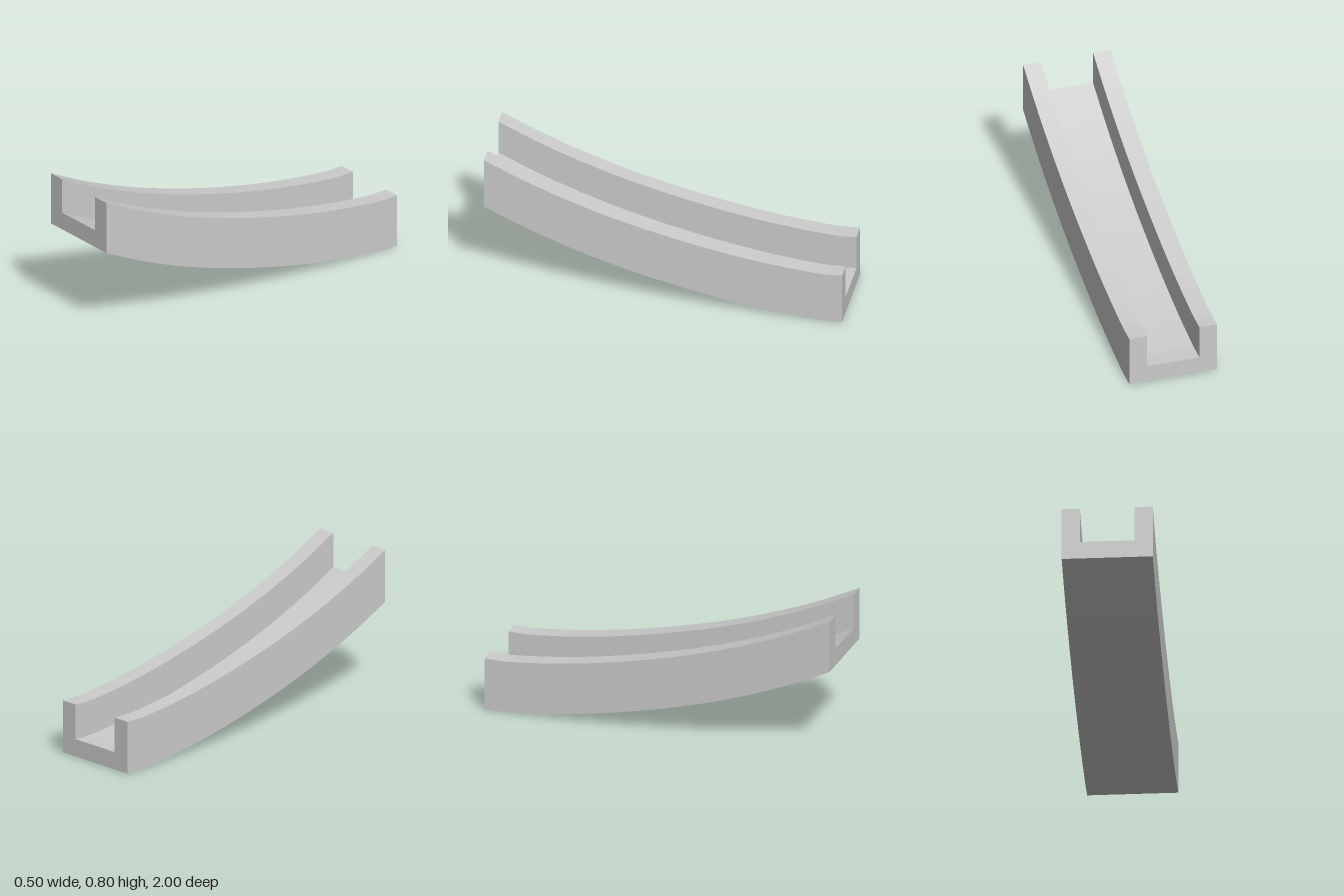
import * as THREE from 'three';
import { toCreasedNormals } from 'three/addons/utils/BufferGeometryUtils.js';

const STEPS = 48;

// Underside of the chute from the low back end to the high front end, as (z, y)
const slope = new THREE.SplineCurve([
  [-1, 0.003], [-0.9, 0], [-0.8, 0.006], [-0.6, 0.027], [-0.4, 0.057], [-0.2, 0.095], [0, 0.14],
  [0.2, 0.192], [0.4, 0.253], [0.6, 0.324], [0.8, 0.406], [1, 0.5],
].map(([z, y]) => new THREE.Vector2(z, y)));

// U-shaped cross-section: floor 0.1 thick with two walls 0.3 high
function channelShape() {
  return new THREE.Shape([
    [-0.25, 0], [0.25, 0], [0.25, 0.3], [0.15, 0.3],
    [0.15, 0.1], [-0.15, 0.1], [-0.15, 0.3], [-0.25, 0.3],
  ].map(([x, y]) => new THREE.Vector2(x, y)));
}

export function createModel() {
  const group = new THREE.Group();
  group.name = 'curvedChute';

  // Extrude the section straight, then shift each slice up along the slope
  const geometry = new THREE.ExtrudeGeometry(channelShape(), { depth: 1, steps: STEPS, bevelEnabled: false });
  const pos = geometry.attributes.position;
  for (let i = 0; i < pos.count; i++) {
    const p = slope.getPoint(THREE.MathUtils.clamp(pos.getZ(i), 0, 1));
    pos.setY(i, pos.getY(i) + p.y);
    pos.setZ(i, p.x);
  }

  const channel = new THREE.Mesh(
    toCreasedNormals(geometry, 0.5),
    new THREE.MeshStandardMaterial({ color: 0xcccccc }),
  );
  channel.name = 'channel';
  group.add(channel);
  return group;
}
